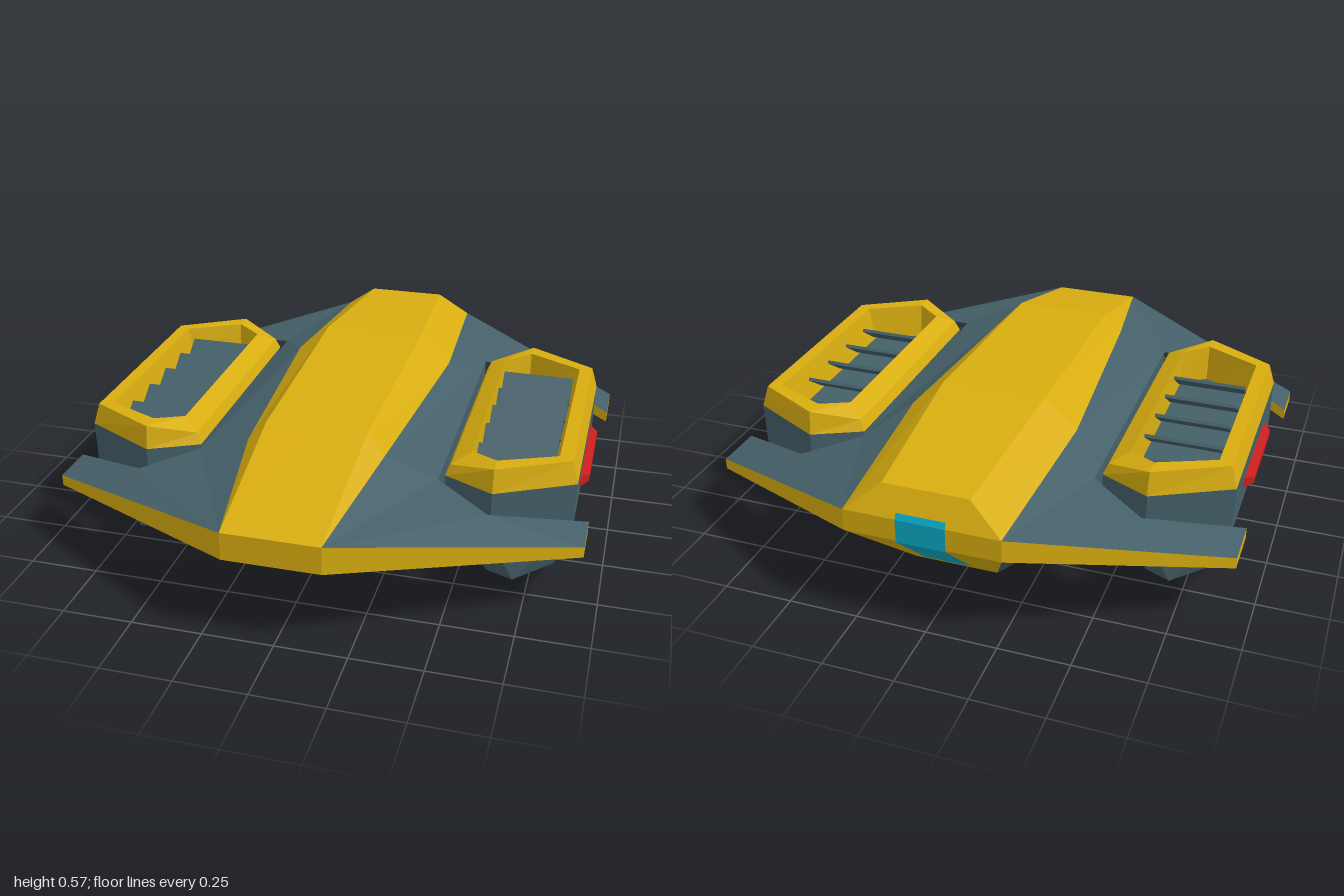
import * as THREE from 'three';

const mat = (name, color) => Object.assign(new THREE.MeshStandardMaterial({ color }), { name });

// Mesh from flat polygons, optionally mirrored across x = 0
function polyMesh(name, polys, material, sides = [1]) {
  const pos = [];
  for (const s of sides) {
    for (const poly of polys) {
      const p = poly.map(([x, y, z]) => [x * s, y, z]);
      if (s < 0) p.reverse();
      for (let i = 1; i < p.length - 1; i++) pos.push(...p[0], ...p[i], ...p[i + 1]);
    }
  }
  const geo = new THREE.BufferGeometry();
  geo.setAttribute('position', new THREE.Float32BufferAttribute(pos, 3));
  geo.computeVertexNormals();
  const mesh = new THREE.Mesh(geo, material);
  mesh.name = name;
  return mesh;
}

// Order a polygon's corners so that it faces the given direction
function facing(dir, ...pts) {
  const n = new THREE.Vector3();
  const v = pts.map((p) => new THREE.Vector3(...p));
  for (let i = 1; i < v.length - 1; i++) {
    n.add(v[i].clone().sub(v[0]).cross(v[i + 1].clone().sub(v[0])));
  }
  return n.dot(new THREE.Vector3(...dir)) < 0 ? pts.reverse() : pts;
}

// Quads between rings that run counter-clockwise seen from above
function loft(rings) {
  const out = [];
  for (let k = 0; k < rings.length - 1; k++) {
    const a = rings[k], b = rings[k + 1];
    a.forEach((p, i) => {
      const j = (i + 1) % a.length;
      out.push([p, a[j], b[j], b[i]]);
    });
  }
  return out;
}

// Pointed six-sided ring: outer, end and inner corners, each as x, y, half length
const POD_Z = -0.02;
const podRing = (xo, yo, zo, xe, ye, ze, xi, yi, zi) => [
  [xo, yo, POD_Z + zo], [xo, yo, POD_Z - zo], [xe, ye, POD_Z - ze],
  [xi, yi, POD_Z - zi], [xi, yi, POD_Z + zi], [xe, ye, POD_Z + ze],
];

export function createModel() {
  const model = new THREE.Group();
  model.name = 'hoverCraft';
  const yellow = mat('yellow', 0xd8ad10);
  const slate = mat('slate', 0x456069);
  const red = mat('red', 0xc81e1e);
  const cyan = mat('cyan', 0x0aa8c4);
  const both = [1, -1];
  const mid = (p) => [0, p[1], p[2]];
  const up = [0, 1, 0], down = [0, -1, 0];

  // Hull points on the left half, front to back
  const front = {
    s: 1, rim: [0.167, 0.41, 1], rimLow: [0.167, 0.31, 1], roof: [0.18, 0.545, 0.48], shoulder: [0.245, 0.475, 0.49],
    side: [0.43, 0.41, 0.49], sideLow: [0.43, 0.24, 0.49], notch: [0.62, 0.36, 0.595], notchLow: [0.62, 0.31, 0.595],
    tip: [0.94, 0.275, 0.575], tipIn: [0.94, 0.275, 0.41], keel: [0.155, 0.085, 0.48],
  };
  const back = {
    s: -1, rim: [0.27, 0.43, -1], rimLow: [0.27, 0.35, -1], roof: [0.19, 0.575, -0.34], shoulder: [0.31, 0.472, -0.34],
    side: [0.43, 0.41, -0.53], sideLow: [0.43, 0.24, -0.53], notch: [0.62, 0.36, -0.635], notchLow: [0.62, 0.31, -0.635],
    tip: [0.94, 0.275, -0.635], tipIn: [0.94, 0.275, -0.455], keel: [0.15, 0.085, -0.72],
  };
  const tail = [0.15, 0.525, -0.95];

  // Yellow roof spine
  model.add(polyMesh('roof', [
    facing(up, mid(front.rim), front.rim, front.roof, mid(front.roof)),
    facing(up, mid(front.roof), front.roof, back.roof, mid(back.roof)),
    facing(up, mid(back.roof), back.roof, tail, mid(tail)),
    facing([1, 1, 0], front.rim, front.shoulder, front.roof),
    facing([1, 1, 0], front.roof, front.shoulder, back.shoulder, back.roof),
    facing([1, 1, 0], back.roof, back.shoulder, back.rim, tail),
    facing([0, 1, -1], mid(tail), tail, back.rim, mid(back.rim)),
  ], yellow, both));

  // Wing skins and edge bands at each end
  const skin = [], under = [], edge = [];
  for (const e of [front, back]) {
    const tipLow = [0.94, 0.235, e.tip[2]], tipInLow = [0.94, 0.235, e.tipIn[2]];
    skin.push(
      facing(up, e.rim, e.tip, e.notch), facing(up, e.tip, e.tipIn, e.notch),
      facing(up, e.rim, e.notch, e.side), facing(up, e.rim, e.side, e.shoulder),
    );
    under.push(
      facing(down, e.rimLow, e.keel, e.sideLow), facing(down, e.rimLow, e.sideLow, e.notchLow),
      facing(down, e.rimLow, e.notchLow, tipLow), facing(down, e.notchLow, tipLow, tipInLow),
    );
    edge.push(
      facing([0, 0, e.s], mid(e.rim), e.rim, e.rimLow, mid(e.rimLow)),
      facing([1, 0, e.s], e.rim, e.tip, tipLow, e.rimLow),
      facing([1, 0, 0], e.tip, e.tipIn, tipInLow, tipLow),
      facing([-1, 0, -e.s], e.tipIn, e.notch, e.notchLow, tipInLow),
      facing([0, -1, e.s], mid(e.rimLow), e.rimLow, e.keel, mid(e.keel)),
    );
  }
  skin.push(facing(up, front.shoulder, front.side, back.side, back.shoulder));
  under.push(
    facing(down, front.keel, front.sideLow, back.sideLow, back.keel),
    facing(down, mid(front.keel), front.keel, back.keel, mid(back.keel)),
    facing([1, 0, 0], front.side, front.sideLow, back.sideLow, back.side),
  );
  model.add(polyMesh('wingTop', skin, slate, both));
  model.add(polyMesh('underside', under, slate, both));
  model.add(polyMesh('edgeBand', edge, yellow, both));

  // Cyan tail light wrapping down the stern
  const lamp = [[0.452, -0.993], [0.432, -1.004], [0.348, -1.004], [0.147, -0.793]];
  const lampFaces = [];
  for (let i = 0; i < 3; i++) {
    const [a, b] = [lamp[i], lamp[i + 1]];
    lampFaces.push(facing([0, 0, -1], [-0.085, ...a], [0.085, ...a], [0.085, ...b], [-0.085, ...b]));
  }
  model.add(polyMesh('tailLight', lampFaces, cyan));

  // Pod cross-sections from the belly recess up to the well floor
  const bodyRings = [
    podRing(0.785, 0.085, 0.335, 0.70, 0.07, 0.395, 0.645, 0.055, 0.35),
    podRing(0.79, 0.045, 0.34, 0.70, 0.029, 0.41, 0.635, 0.013, 0.36),
    podRing(0.83, 0.055, 0.38, 0.70, 0.03, 0.48, 0.60, 0.005, 0.405),
    podRing(0.887, 0.22, 0.405, 0.62, 0.23, 0.545, 0.447, 0.235, 0.455),
    podRing(0.89, 0.40, 0.405, 0.62, 0.40, 0.545, 0.445, 0.40, 0.46),
  ];
  const rimRings = [
    bodyRings[4],
    podRing(0.867, 0.48, 0.395, 0.62, 0.485, 0.53, 0.462, 0.44, 0.45),
    podRing(0.82, 0.48, 0.37, 0.62, 0.485, 0.465, 0.525, 0.475, 0.40),
    podRing(0.795, 0.35, 0.36, 0.62, 0.35, 0.45, 0.53, 0.35, 0.385),
  ];
  // Tapered side lamp
  const lampRing = (x, y, z0, z1, h) => [[x, y - h, z0], [x, y - h, z1], [x, y + h, z1], [x, y + h, z0]];
  const lampIn = lampRing(0.885, 0.305, 0.2, -0.23, 0.022);
  const lampOut = lampRing(0.918, 0.305, 0.155, -0.19, 0.013);

  for (const s of both) {
    const pod = new THREE.Group();
    pod.name = s > 0 ? 'leftPod' : 'rightPod';
    pod.add(polyMesh('podBody', [...loft(bodyRings), [...bodyRings[0]].reverse()], slate, [s]));
    pod.add(polyMesh('podRim', loft(rimRings), yellow, [s]));
    pod.add(polyMesh('wellFloor', [rimRings[3]], slate, [s]));
    pod.add(polyMesh('sideLamp', [...loft([lampIn, lampOut]), lampOut], red, [s]));
    // Tilted slats in the well
    for (let i = 0; i < 5; i++) {
      const slat = new THREE.Mesh(new THREE.BoxGeometry(0.27, 0.012, 0.115), slate);
      slat.name = 'slat';
      slat.position.set(s * 0.662, 0.4, -0.345 + i * 0.157);
      slat.rotation.x = 0.62;
      pod.add(slat);
    }
    model.add(pod);
  }
  return model;
}
